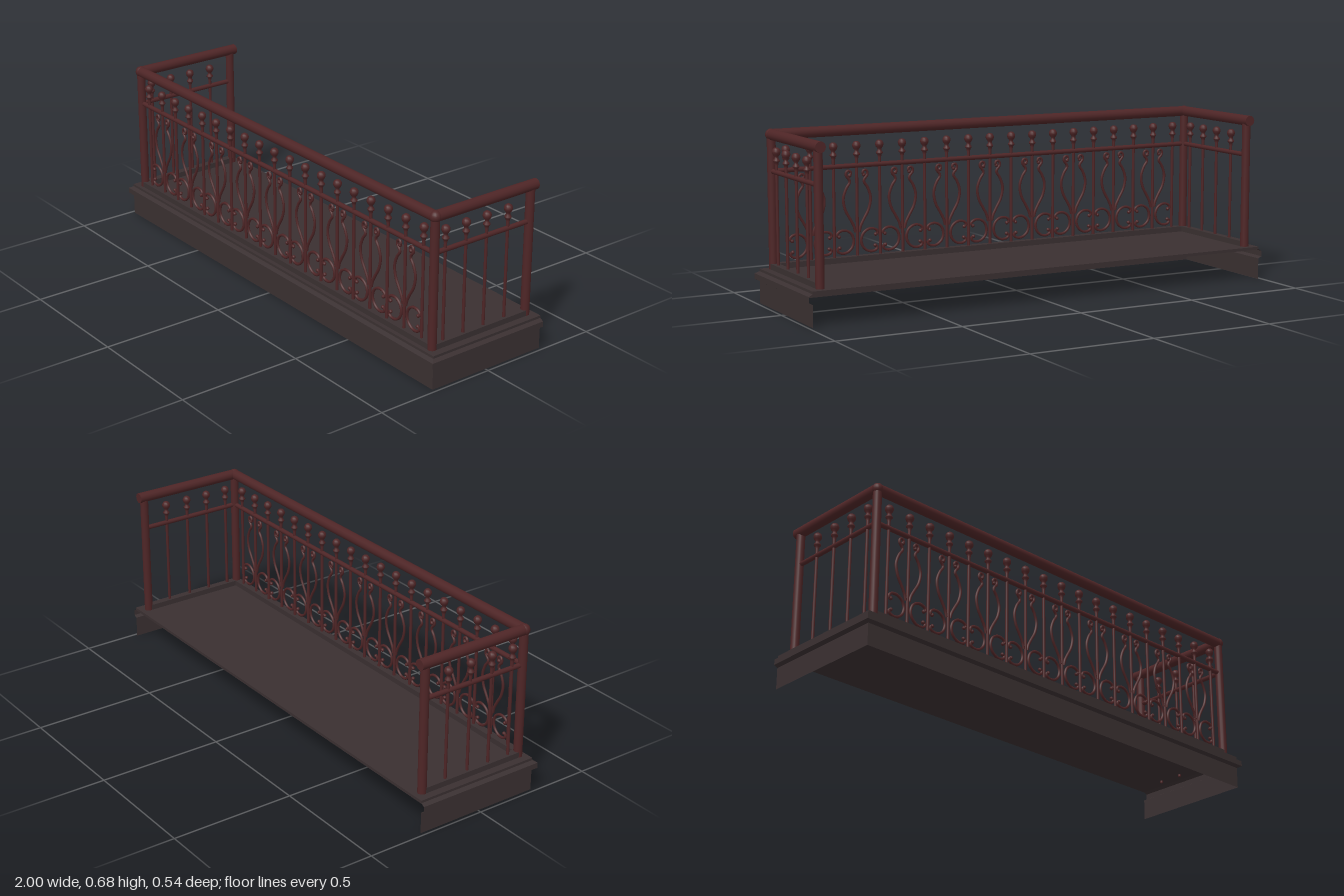
import * as THREE from 'three';

export function createModel() {
  const model = new THREE.Group();
  model.name = 'balcony';
  const iron = new THREE.MeshStandardMaterial({ color: 0x4e2526 });
  iron.name = 'oxblood iron';
  const stone = new THREE.MeshStandardMaterial({ color: 0x3a3031, side: THREE.DoubleSide });
  stone.name = 'dark stone';

  const add = (name, geo, mat, x = 0, y = 0, z = 0, parent = model) => {
    const m = new THREE.Mesh(geo, mat);
    m.name = name;
    m.position.set(x, y, z);
    parent.add(m);
    return m;
  };
  const box = (name, w, h, d, x, y, z) => add(name, new THREE.BoxGeometry(w, h, d), stone, x, y, z);
  // Round bar between two points
  const bar = (name, a, b, r, sides = 16) => {
    const from = new THREE.Vector3(...a), to = new THREE.Vector3(...b);
    const dir = to.clone().sub(from);
    const m = add(name, new THREE.CylinderGeometry(r, r, dir.length(), sides), iron);
    m.position.copy(from).add(to).multiplyScalar(0.5);
    m.quaternion.setFromUnitVectors(new THREE.Vector3(0, 1, 0), dir.normalize());
    return m;
  };

  const PX = 0.94, FZ = 0.222, BZ = -0.23, TOP = 0.653;

  // Moulded fascia: a thin profile swept round three sides, open at the back
  const profile = [[0, 0], [0, 0.086], [0.015, 0.094], [0.015, 0.116], [0, 0.125], [0, 0.135]];
  const path = [[-0.985, -0.268, -1, 0], [-0.985, 0.254, -1, 1], [0.985, 0.254, 1, 1], [0.985, -0.268, 1, 0]];
  const verts = [];
  const at = (s, p) => [path[s][0] + path[s][2] * profile[p][0], profile[p][1], path[s][1] + path[s][3] * profile[p][0]];
  for (let s = 0; s < path.length - 1; s++) {
    for (let p = 0; p < profile.length - 1; p++) {
      const a = at(s, p), b = at(s + 1, p), c = at(s + 1, p + 1), d = at(s, p + 1);
      verts.push(...a, ...b, ...c, ...a, ...c, ...d);
    }
  }
  const fascia = new THREE.BufferGeometry();
  fascia.setAttribute('position', new THREE.Float32BufferAttribute(verts, 3));
  fascia.computeVertexNormals();
  add('fascia', fascia, stone);

  // Floor and the low kerb under the railing
  box('floor', 1.97, 0.012, 0.522, 0, 0.129, -0.007);
  box('frontKerb', PX * 2, 0.022, 0.03, 0, 0.146, FZ);
  for (const s of [-1, 1]) box('sideKerb', 0.03, 0.022, 0.443, s * PX, 0.146, -0.0065);

  // Posts, handrail and middle rail
  bar('frontHandrail', [-PX, TOP, FZ], [PX, TOP, FZ], 0.021);
  bar('frontMiddleRail', [-PX, 0.513, FZ], [PX, 0.513, FZ], 0.0095, 12);
  for (const s of [-1, 1]) {
    const x = s * PX;
    bar('frontPost', [x, 0.13, FZ], [x, TOP, FZ], 0.017);
    bar('backPost', [x, 0.13, BZ], [x, TOP, BZ], 0.017);
    bar('sideHandrail', [x, TOP, FZ], [x, TOP, -0.255], 0.021);
    add('handrailCorner', new THREE.SphereGeometry(0.0225, 16, 12), iron, x, TOP, FZ);
    bar('sideMiddleRail', [x, 0.513, FZ], [x, 0.513, BZ], 0.0095, 12);
  }

  // Turned baluster with ring, neck and ball finial
  const turned = [[0.0001, 0.115], [0.006, 0.115], [0.006, 0.54], [0.008, 0.545], [0.008, 0.55],
    [0.0135, 0.555], [0.0135, 0.56], [0.008, 0.567], [0.008, 0.574], [0.0135, 0.581], [0.0165, 0.589],
    [0.0165, 0.595], [0.013, 0.603], [0.007, 0.6075], [0.0001, 0.6085]];
  const balusterGeo = new THREE.LatheGeometry(turned.map(([r, y]) => new THREE.Vector2(r, y)), 12);
  const STEP = 0.098;
  for (let i = -9; i <= 9; i++) add('frontBaluster', balusterGeo, iron, i * STEP, 0, FZ);
  for (const s of [-1, 1]) {
    for (const z of [0.172, 0.076, -0.022, -0.124]) add('sideBaluster', balusterGeo, iron, s * PX, 0, z);
  }

  // Wrought scrolls: a lyre curve above a C-shaped curl, mirrored about a baluster
  const lyre = [[0.03, 0.475], [0.025, 0.484], [0.032, 0.494], [0.043, 0.49], [0.045, 0.475], [0.032, 0.458],
    [0.03, 0.448], [0.045, 0.425], [0.058, 0.385], [0.05, 0.34], [0.028, 0.3], [0.015, 0.275], [0.008, 0.25]];
  const curl = [[0.078, 0.236], [0.086, 0.24], [0.084, 0.251], [0.07, 0.259], [0.048, 0.259], [0.026, 0.245],
    [0.016, 0.218], [0.023, 0.191], [0.044, 0.173], [0.067, 0.17], [0.083, 0.178], [0.084, 0.19], [0.076, 0.192]];
  const tubes = [lyre, curl].map(pts => [-1, 1].map(s => new THREE.TubeGeometry(
    new THREE.CatmullRomCurve3(pts.map(([x, y]) => new THREE.Vector3(s * x, y, 0))), 44, 0.0055, 6)));
  const knob = new THREE.SphereGeometry(0.0075, 8, 6);
  for (let i = -4; i <= 4; i++) {
    const scroll = new THREE.Group();
    scroll.name = 'scrollPanel';
    scroll.position.set(i * 2 * STEP, 0, FZ);
    model.add(scroll);
    [-1, 1].forEach((s, k) => {
      add('lyreScroll', tubes[0][k], iron, 0, 0, 0, scroll);
      add('lowerCurl', tubes[1][k], iron, 0, 0, 0, scroll);
      for (const [x, y] of [lyre[0], curl[0], curl[curl.length - 1]]) {
        add('scrollKnob', knob, iron, s * x, y, 0, scroll);
      }
    });
  }
  return model;
}
